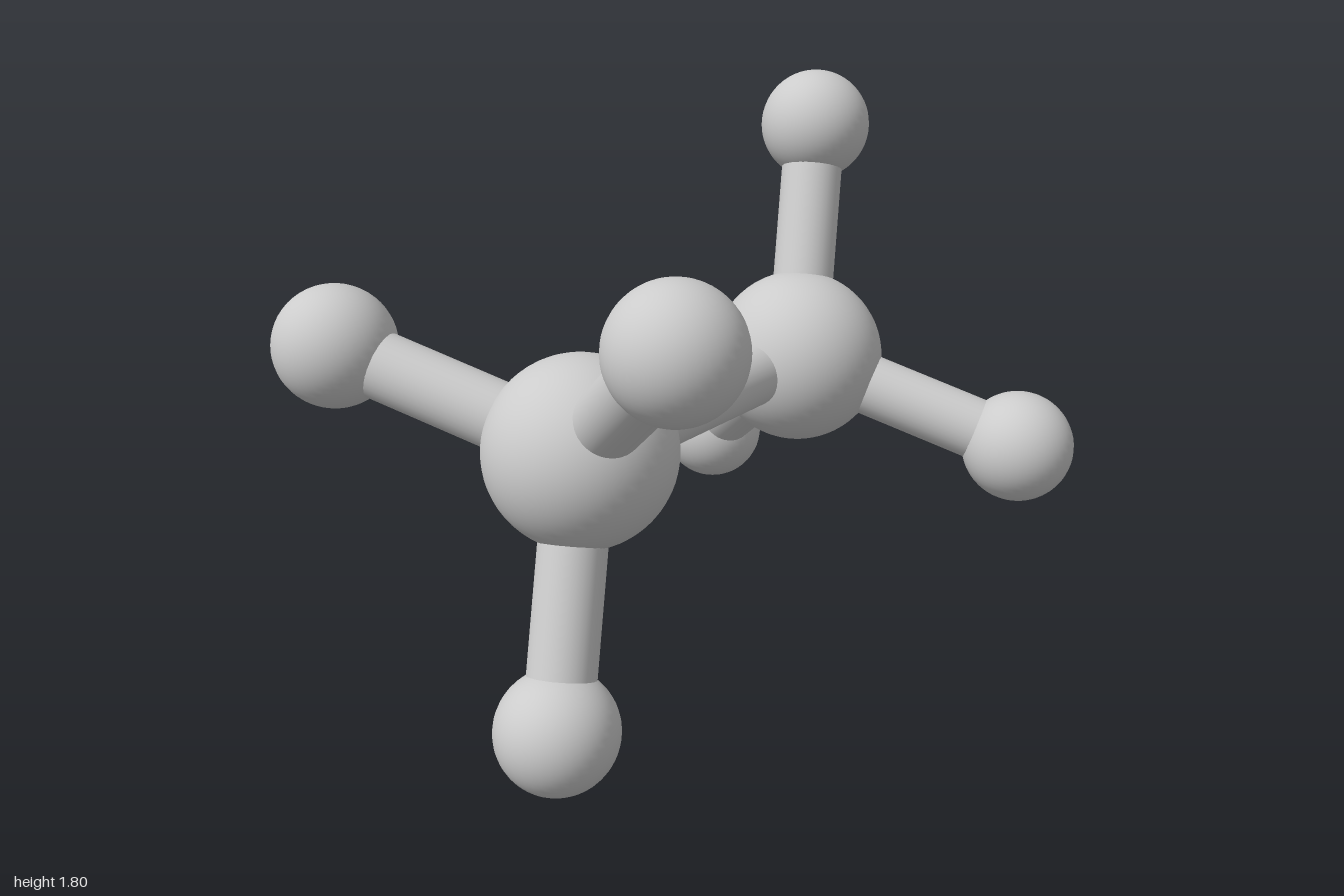
import * as THREE from 'three';

const CENTRE_Y = 0.91;
const UP = new THREE.Vector3(0, 1, 0);

export function createModel() {
  const model = new THREE.Group();
  model.name = 'ballAndStickModel';
  const material = new THREE.MeshStandardMaterial({ color: 0xcccccc });
  const bigBall = new THREE.SphereGeometry(0.28, 48, 32);
  const smallBall = new THREE.SphereGeometry(0.18, 40, 28);

  function addBall(name, geometry, position) {
    const ball = new THREE.Mesh(geometry, material);
    ball.name = name;
    ball.position.copy(position);
    model.add(ball);
  }

  // Rod running from one point to another, ends hidden in the balls
  function addRod(name, from, to) {
    const dir = to.clone().sub(from);
    const geometry = new THREE.CylinderGeometry(0.1, 0.1, dir.length(), 32, 1, true);
    const rod = new THREE.Mesh(geometry, material);
    rod.name = name;
    rod.position.copy(from).add(to).multiplyScalar(0.5);
    rod.quaternion.setFromUnitVectors(UP, dir.normalize());
    model.add(rod);
  }

  const centres = [];
  for (const side of [1, -1]) {
    const label = side > 0 ? 'left' : 'right';
    const centre = new THREE.Vector3(side * 0.543, CENTRE_Y, 0);
    centres.push(centre);
    addBall(label + 'CentreBall', bigBall, centre);

    // Three arms, 120 degrees apart; the two ends are staggered by half a turn
    for (let i = 0; i < 3; i++) {
      const a = THREE.MathUtils.degToRad(100.3 + i * 120);
      const tip = new THREE.Vector3(
        side * 0.817,
        CENTRE_Y + side * 0.731 * Math.sin(a),
        side * 0.731 * Math.cos(a)
      );
      const middle = centre.clone().lerp(tip, 0.5);
      addBall(label + 'OuterBall' + (i + 1), smallBall, tip);
      addRod(label + 'InnerRod' + (i + 1), centre, middle);
      addRod(label + 'OuterRod' + (i + 1), middle, tip);
    }
  }

  // Rod joining the two large balls
  addRod('centreRod', centres[1], centres[0]);
  return model;
}
